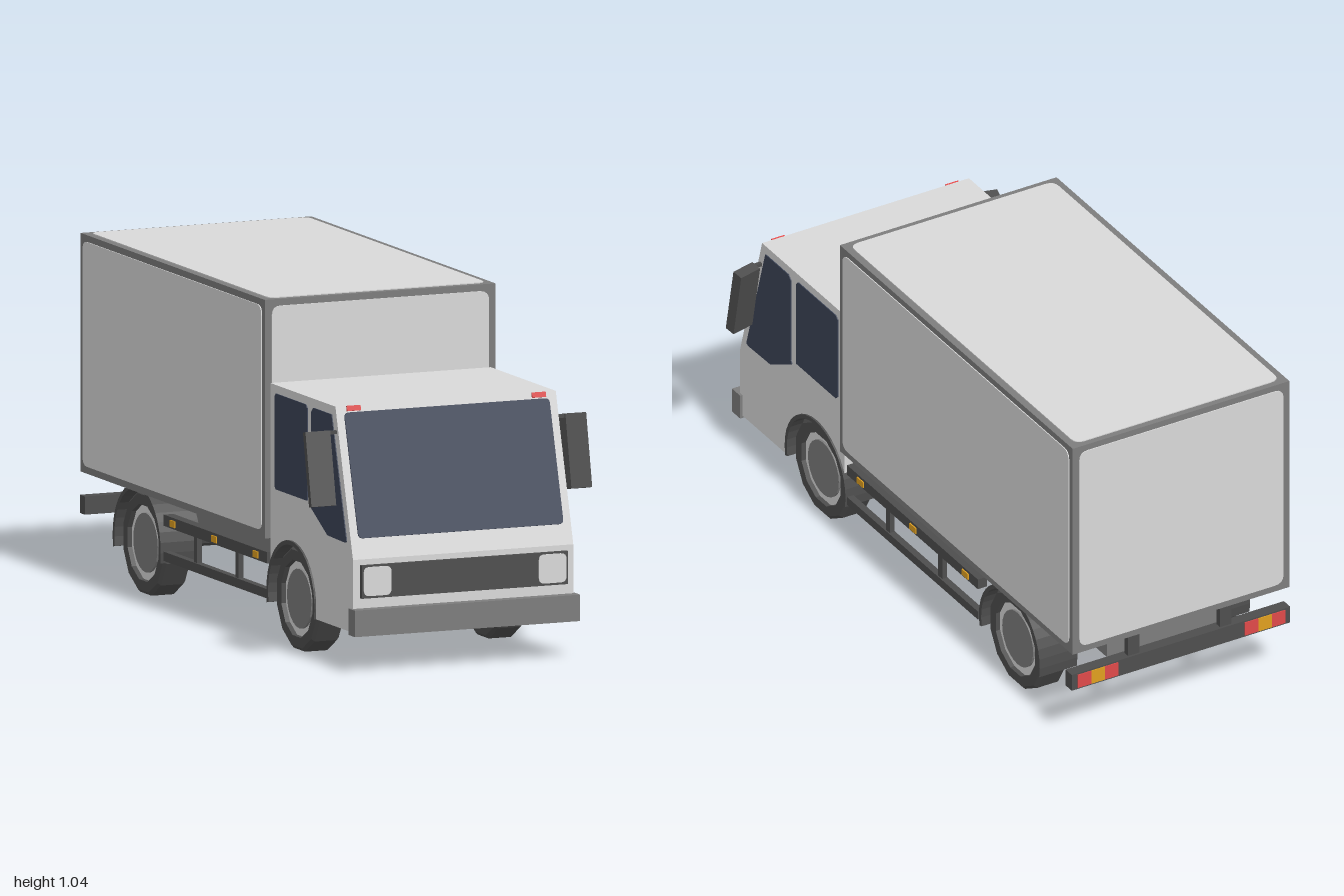
import * as THREE from 'three';

const mat = (name, color, opts = {}) => new THREE.MeshStandardMaterial({ name, color, ...opts });

export function createModel() {
  const light = mat('lightGrey', 0xd9d9d9);
  const mid = mat('midGrey', 0x7d7d7d);
  const dark = mat('darkGrey', 0x4e4e4e);
  const glass = mat('glass', 0x3c4457);
  const red = mat('red', 0xe04a4a);
  const amber = mat('amber', 0xe0a020);
  for (const m of [dark, light, mid]) m.flatShading = true;

  const truck = new THREE.Group();
  truck.name = 'boxTruck';

  function add(name, geometry, material, parent = truck) {
    const mesh = new THREE.Mesh(geometry, material);
    mesh.name = name;
    parent.add(mesh);
    return mesh;
  }
  // Box given by its limits on each axis
  function block(name, material, [x0, x1], [y0, y1], [z0, z1], parent = truck) {
    const mesh = add(name, new THREE.BoxGeometry(x1 - x0, y1 - y0, z1 - z0), material, parent);
    mesh.position.set((x0 + x1) / 2, (y0 + y1) / 2, (z0 + z1) / 2);
    return mesh;
  }
  const range = (s, a, b) => (s > 0 ? [a, b] : [-b, -a]);
  // Extrudes a (z, y) side outline across x, from x0 to x1
  function sideExtrude(name, shape, x0, x1, material) {
    const g = new THREE.ExtrudeGeometry(shape, { depth: x1 - x0, bevelEnabled: false, curveSegments: 10 });
    g.rotateY(-Math.PI / 2).translate(x1, 0, 0);
    return add(name, g, material);
  }
  const polygon = (pts) => new THREE.Shape(pts.map(([a, b]) => new THREE.Vector2(a, b)));
  // Thin plate with rounded corners, centred, facing +z
  function plate(w, h, r, t = 0.004) {
    const x = w / 2, y = h / 2;
    const s = new THREE.Shape();
    s.moveTo(-x + r, -y).lineTo(x - r, -y).quadraticCurveTo(x, -y, x, -y + r);
    s.lineTo(x, y - r).quadraticCurveTo(x, y, x - r, y);
    s.lineTo(-x + r, y).quadraticCurveTo(-x, y, -x, y - r);
    s.lineTo(-x, -y + r).quadraticCurveTo(-x, -y, -x + r, -y);
    return new THREE.ExtrudeGeometry(s, { depth: t, bevelEnabled: false, curveSegments: 4 });
  }

  // Cargo body with a pale panel on each outer face
  block('cargoFrame', mid, [-0.377, 0.377], [0.315, 1.037], [-0.997, 0.357]);
  const cz = -0.32, cy = 0.677;
  const panels = [
    ['frontPanel', 0.71, 0.68, [0, cy, 0.356], [0, 0]],
    ['backPanel', 0.71, 0.68, [0, cy, -0.996], [0, Math.PI]],
    ['leftPanel', 1.315, 0.68, [0.376, cy, cz], [0, Math.PI / 2]],
    ['rightPanel', 1.315, 0.68, [-0.376, cy, cz], [0, -Math.PI / 2]],
    ['roofPanel', 0.71, 1.315, [0, 1.036, cz], [-Math.PI / 2, 0]],
  ];
  for (const [name, w, h, pos, [rx, ry]] of panels) {
    const p = add(name, plate(w, h, 0.03), light);
    p.position.set(...pos);
    p.rotation.set(rx, ry, 0);
  }

  // Cab with slanted front and wheel arch
  const cab = new THREE.Shape();
  cab.moveTo(0.967, 0.12).lineTo(0.967, 0.34).lineTo(0.838, 0.785).lineTo(0.36, 0.785).lineTo(0.36, 0.23);
  cab.absarc(0.52, 0.155, 0.176, Math.PI * 0.86, -0.2, true);
  cab.closePath();
  sideExtrude('cab', cab, -0.36, 0.36, light);

  // Windscreen and marker lights on the slanted front
  const slope = new THREE.Group();
  slope.name = 'windscreenGroup';
  slope.position.set(0, 0.34, 0.967);
  slope.rotation.x = -Math.atan2(0.129, 0.445);
  truck.add(slope);
  add('windscreen', plate(0.67, 0.38, 0.015), glass, slope).position.set(0, 0.253, 0);
  for (const s of [1, -1])
    block('roofMarker', red, range(s, 0.28, 0.325), [0.447, 0.463], [0, 0.005], slope);

  // Front bumper, grille and headlamps
  block('frontBumper', mid, [-0.368, 0.368], [0.112, 0.192], [0.952, 1]);
  block('grille', dark, [-0.337, 0.337], [0.223, 0.323], [0.96, 0.98]);
  for (const s of [1, -1])
    add('headlamp', plate(0.09, 0.088, 0.018), light).position.set(s * 0.286, 0.274, 0.979);

  const frontWindow = polygon([[0.925, 0.39], [0.815, 0.758], [0.68, 0.758], [0.667, 0.745],
    [0.667, 0.465], [0.655 + 0.005, 0.455], [0.785, 0.388], [0.915, 0.385]]);
  const rearWindow = polygon([[0.405, 0.47], [0.635, 0.47], [0.635, 0.75], [0.625, 0.76], [0.405, 0.76], [0.395, 0.75], [0.395, 0.48]]);

  // Arch-shaped mudguard outline
  const guard = (z, r0, r1) => {
    const s = new THREE.Shape();
    s.absarc(z, 0.155, r1, -0.2, Math.PI + 0.2, false);
    s.absarc(z, 0.155, r0, Math.PI + 0.2, -0.2, true);
    return s;
  };
  const tyreProfile = [[0.118, -0.045], [0.15, -0.045], [0.16, -0.036], [0.16, 0.036], [0.15, 0.045], [0.118, 0.045], [0.118, -0.045]]
    .map(([r, y]) => new THREE.Vector2(r, y));

  for (const s of [1, -1]) {
    // Side windows
    const wx = range(s, 0.357, 0.363);
    sideExtrude('doorWindow', frontWindow, ...wx, glass);
    sideExtrude('rearSideWindow', rearWindow, ...wx, glass);

    // Mirror and its arm
    const mirror = block('mirror', dark, range(s, 0.38, 0.456), [0.49, 0.715], [0.835, 0.87]);
    mirror.rotation.set(-0.2, s * 0.2, 0);
    block('mirrorArm', dark, range(s, 0.35, 0.4), [0.704, 0.714], [0.838, 0.85]);

    // Wheels and mudguards
    for (const z of [0.52, -0.61]) {
      const wheel = new THREE.Group();
      wheel.name = z > 0 ? 'frontWheel' : 'rearWheel';
      wheel.position.set(s * 0.3, 0.155, z);
      wheel.rotation.z = -s * Math.PI / 2;
      truck.add(wheel);
      add('tyre', new THREE.LatheGeometry(tyreProfile, 12, Math.PI / 12), dark, wheel);
      add('rim', new THREE.CylinderGeometry(0.119, 0.119, 0.06, 24), light, wheel);
      add('hub', new THREE.CylinderGeometry(0.09, 0.09, 0.074, 24), mid, wheel);
      sideExtrude('mudguard', guard(z, 0.164, 0.177), ...range(s, 0.235, 0.366), dark);
    }

    // Side guard rails, posts and amber markers
    block('upperRail', dark, range(s, 0.33, 0.362), [0.236, 0.27], [-0.42, 0.34]);
    block('lowerRail', dark, range(s, 0.34, 0.362), [0.13, 0.158], [-0.42, 0.34]);
    for (const z of [0.11, -0.195])
      block('railPost', dark, range(s, 0.342, 0.358), [0.15, 0.24], [z - 0.012, z + 0.012]);
    for (const z of [0.26, -0.045, -0.35])
      block('sideMarker', amber, range(s, 0.36, 0.366), [0.242, 0.262], [z - 0.018, z + 0.018]);

    // Tail lamps and rear bar brackets
    [red, amber, red].forEach((m, i) =>
      block('tailLamp', m, range(s, 0.22 + i * 0.047, 0.267 + i * 0.047), [0.195, 0.24], [-1, -0.994]));
    block('rearBracket', dark, range(s, 0.14, 0.18), [0.22, 0.32], [-0.99, -0.97]);
  }

  // Chassis, axles and rear bar
  block('chassis', mid, [-0.2, 0.2], [0.2, 0.318], [-0.9, 0.37]);
  block('rearBar', dark, [-0.38, 0.38], [0.19, 0.245], [-0.997, -0.96]);
  for (const z of [0.52, -0.61]) {
    const axle = add('axle', new THREE.CylinderGeometry(0.022, 0.022, 0.56, 12), dark);
    axle.rotation.z = Math.PI / 2;
    axle.position.set(0, 0.155, z);
  }
  block('axleHousing', dark, [-0.05, 0.05], [0.115, 0.2], [-0.66, -0.56]);

  return truck;
}
